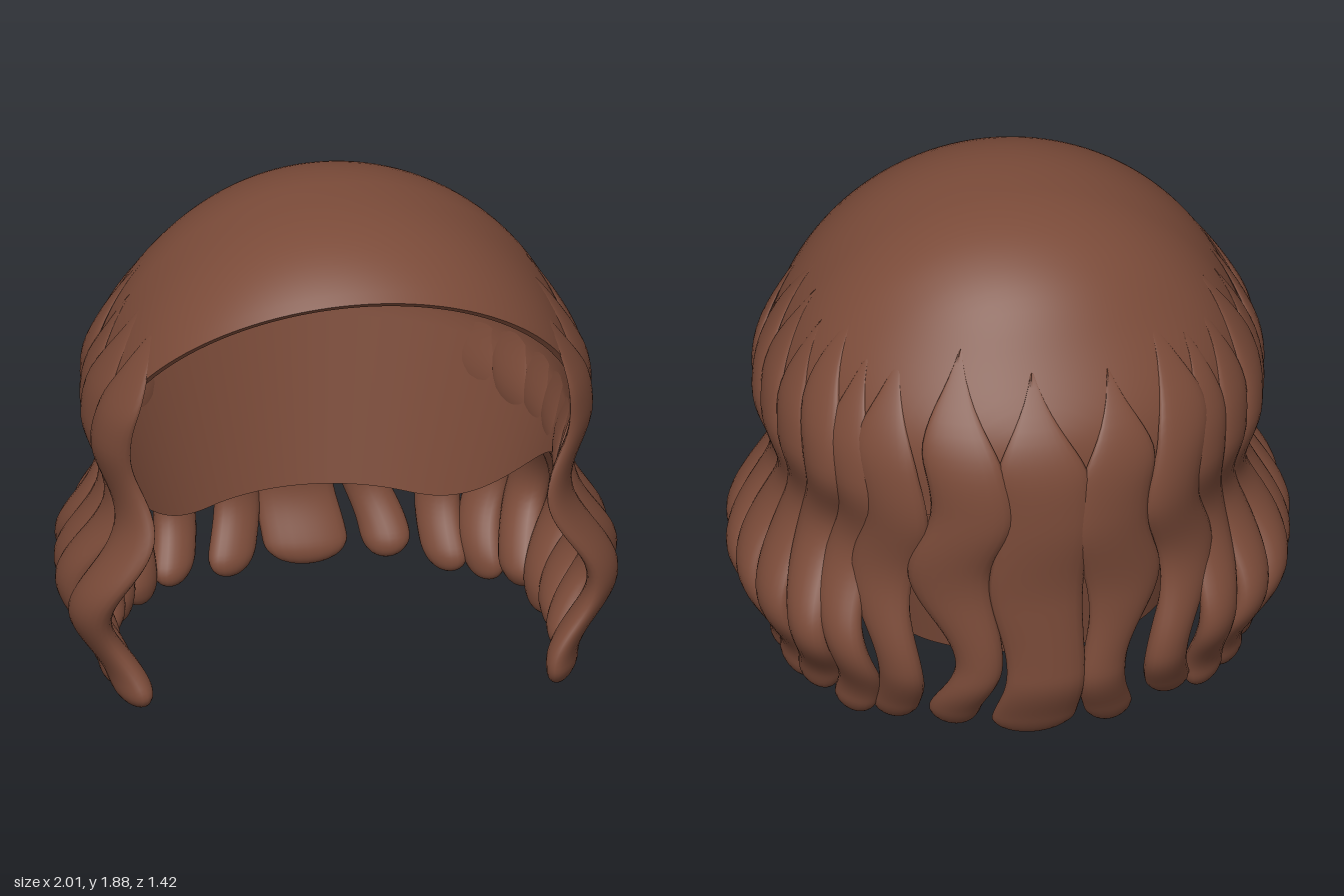
import * as THREE from 'three';
import { mergeVertices, mergeGeometries } from 'three/addons/utils/BufferGeometryUtils.js';

const { smoothstep, lerp } = THREE.MathUtils;
const SEMI = new THREE.Vector3(0.875, 0.89, 0.85); // dome half sizes
const MID = new THREE.Vector3(0, 1.0, 0.15);       // dome centre
const FRONT = 0.83;                                // half depth of the boxier front
const INNER = 0.975;                               // scale of the inner cap

// Open grid from a rule p(u, v); faces point along dv x du
function grid(rule, nu, nv) {
  const pos = [], idx = [];
  for (let i = 0; i <= nu; i++) {
    for (let j = 0; j <= nv; j++) {
      pos.push(...rule(i / nu, j / nv));
      if (i < nu && j < nv) {
        const a = i * (nv + 1) + j, b = a + nv + 1;
        idx.push(a, a + 1, b, b, a + 1, b + 1);
      }
    }
  }
  const g = new THREE.BufferGeometry();
  g.setAttribute('position', new THREE.Float32BufferAttribute(pos, 3));
  g.setIndex(idx);
  return g;
}

function smooth(...parts) {
  const g = mergeVertices(mergeGeometries(parts), 1e-4);
  g.computeVertexNormals();
  return g;
}

// Smooth interpolation through [y, value] pairs listed from high to low
function keyed(keys, y) {
  if (y >= keys[0][0]) return keys[0][1];
  for (let i = 1; i < keys.length; i++) {
    const [y0, a] = keys[i - 1], [y1, b] = keys[i];
    if (y >= y1) return a + (b - a) * (0.5 - 0.5 * Math.cos(Math.PI * (y0 - y) / (y0 - y1)));
  }
  return keys[keys.length - 1][1];
}

// Drawing-in of the dome by height: sides and front, then the sloping back
const TUCK = [[1.25, 1], [1, 0.97]];
const BACK_TUCK = [[1.89, 0.95], [1.6, 0.9], [1.3, 0.98], [1, 0.94]];
function tucked(x, y, depth) {
  const side = keyed(TUCK, y);
  return [x * side, y, MID.z + depth * (depth > 0 ? side : lerp(side, keyed(BACK_TUCK, y), Math.min(1, -depth / 0.35)))];
}

// Polar angle, from the front, at which the face opening starts
function openingAngle(psi) {
  const c = SEMI.x * Math.cos(psi) / 0.86, s = SEMI.y * Math.sin(psi) / 0.71;
  return Math.asin(1 / Math.hypot(c, s));
}

function domePoint(k, psi, theta) {
  const s = Math.sin(theta) * k, c = Math.cos(theta);
  const depth = c > 0 ? FRONT * Math.pow(c, 0.75) : SEMI.z * c;
  return tucked(SEMI.x * s * Math.cos(psi), MID.y + SEMI.y * s * Math.sin(psi), depth * k);
}

function dome(k) {
  return grid((u, v) => {
    const psi = u * Math.PI, start = openingAngle(psi);
    return domePoint(k, psi, start + (Math.PI - start) * v);
  }, 64, 40);
}

// Lower wall of the inner cap, from one temple round the back to the other
function wallPoint(u, v) {
  const t = 1 - Math.abs(2 * u - 1), start = openingAngle(0);
  const [x, y, z] = domePoint(INNER, u < 0.5 ? 0 : Math.PI, start + (Math.PI - start) * t);
  const low = 0.34 + 0.5 * smoothstep(z, -0.5, 0.4);
  const drop = (y - low) * v;
  return [x * (1 - 0.35 * drop), y - drop, MID.z + (z - MID.z) * (1 - 0.25 * drop)];
}

// Radial and sideways waves of a hanging lock
const SIDE_SWELL = [[1.08, 0], [0.8, -0.065], [0.42, 0.09], [0.1, -0.04], [0, -0.05]];
const BACK_SWELL = [[1.0, 0], [0.62, -0.03], [0.32, -0.03], [0, -0.13]];
const SWAY = [[1.4, -0.02], [1.0, 0.045], [0.7, -0.03], [0.33, 0.06], [0.04, -0.03]];

// Flattened wavy lock rooted on the dome at footprint (x, z)
function lock({ x, z, top, bottom, wide, tip, depth, side, phase, sway }) {
  const n = new THREE.Vector2(x / SEMI.x ** 2, (z - MID.z) / SEMI.z ** 2).normalize();
  const tx = n.y, tz = -n.x;
  const sideness = smoothstep(Math.abs(x), 0.45, 0.75);
  return smooth(grid((u, v) => {
    const y = top - (top - bottom) * (1 - Math.pow(1 - v, 1.5));
    const rise = Math.max(0, (y - MID.y) / SEMI.y);
    const r = Math.sqrt(1 - rise * rise);
    const [cx, , cz] = tucked(x * r, y, (z - MID.z) * r);
    const out = lerp(keyed(BACK_SWELL, y), keyed(SIDE_SWELL, y), sideness);
    const shift = side * sway * keyed(SWAY, y + phase);
    const e = Math.max(0, 1 - (y - bottom) / 0.09);
    const round = Math.sqrt(Math.max(0, 1 - e * e));
    const w = keyed([[0.75, wide], [0.35, tip], [0.1, tip * 1.08]], y) * r * round * smoothstep(top - y, -0.05, 0.35);
    const d = depth * round * smoothstep(top - y, 0, top - 1);
    const a = u * Math.PI * 2;
    // The inner face is flat where the lock lies against the cap
    const flat = Math.cos(a) < 0 ? lerp(1, 0.25, smoothstep(y, 0.4, 0.75)) : 1;
    const across = shift + w * Math.sin(a);
    const off = out + d * flat * Math.cos(a);
    return [cx + n.x * off + tx * across, y, cz + n.y * off + tz * across];
  }, 20, 56));
}

export function createModel() {
  const group = new THREE.Group();
  const hair = new THREE.MeshStandardMaterial({ color: 0x7b4b39, side: THREE.DoubleSide });
  hair.name = 'brownHair';
  const add = (name, geometry) => {
    const mesh = new THREE.Mesh(geometry, hair);
    mesh.name = name;
    group.add(mesh);
  };

  // Cap: outer dome, inner dome with its lower wall, and the rim between them
  add('outerCap', smooth(dome(1)));
  add('innerCap', smooth(dome(INNER), grid(wallPoint, 80, 14)));
  add('faceOpeningRim', smooth(grid((u, v) => {
    const psi = u * Math.PI;
    return domePoint(lerp(1, INNER, v), psi, openingAngle(psi));
  }, 64, 2)));

  // Broad lock at the middle of the back
  add('middleBackLock', lock({
    x: 0, z: -0.7, top: 1.52, bottom: 0.015, wide: 0.17, tip: 0.14, depth: 0.055, side: 1, phase: 0, sway: 0.4,
  }));

  // Locks from the back round to the temple: x, z, half width, half width at the tip
  const roots = [
    [0.3, -0.65, 0.15, 0.085], [0.55, -0.51, 0.13, 0.085], [0.667, -0.40, 0.11, 0.085], [0.766, -0.26, 0.11, 0.09],
    [0.839, -0.09, 0.11, 0.1], [0.873, 0.09, 0.11, 0.1], [0.873, 0.27, 0.11, 0.1], [0.842, 0.47, 0.12, 0.11],
  ];
  for (const side of [1, -1]) {
    roots.forEach(([x, z, wide, tip], i) => {
      const jitter = Math.sin(i * 2.3 + side);
      add(side > 0 ? 'leftLock' : 'rightLock', lock({
        x: x * side, z, wide, tip, side, depth: 0.058 + 0.006 * jitter,
        top: 1.54 + 0.05 * jitter, bottom: 0.03 + 0.02 * jitter,
        phase: 0.05 * Math.sin(i * 1.7 - side), sway: 1.05 + 0.2 * jitter,
      }));
    });
  }
  return group;
}
